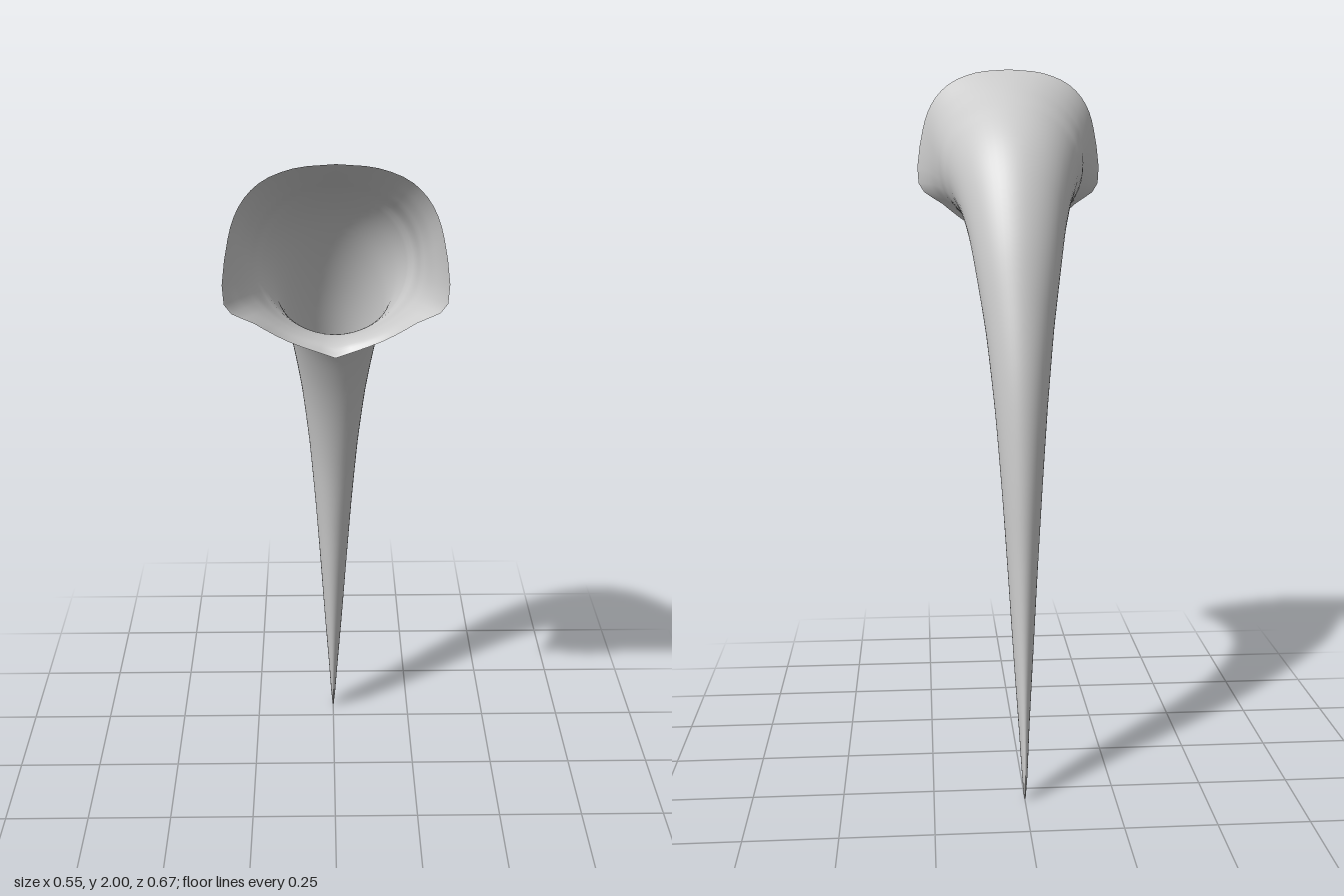
import * as THREE from 'three';

// Stations from mouth to tip: outer edge y, z; inner edge y, z; half width; share of the flared mouth section
const STATIONS = [
  [2.0, 0.305, 1.5, 0.26, 0.27, 1],
  [1.967, 0.25, 1.522, 0.243, 0.24, 0.55],
  [1.932, 0.19, 1.53, 0.21, 0.215, 0.2],
  [1.88, 0.1, 1.523, 0.155, 0.187, 0],
  [1.8, 0.005, 1.485, 0.085, 0.16, 0],
  [1.7, -0.068, 1.42, 0.03, 0.137, 0],
  [1.55, -0.14, 1.31, -0.025, 0.115, 0],
  [1.38, -0.195, 1.18, -0.07, 0.093, 0],
  [1.15, -0.25, 1.0, -0.112, 0.072, 0],
  [0.9, -0.28, 0.8, -0.143, 0.055, 0],
  [0.65, -0.294, 0.58, -0.173, 0.04, 0],
  [0.4, -0.308, 0.36, -0.208, 0.026, 0],
  [0.2, -0.325, 0.18, -0.245, 0.014, 0],
  [0.07, -0.334, 0.06, -0.283, 0.007, 0],
  [0.004, -0.32, 0, -0.31, 0.002, 0],
];

// Half section of the mouth: fraction from outer to inner edge, width fraction, forward offset
const MOUTH = [
  [0, 0, 0], [0.02, 0.37, 0.001], [0.09, 0.67, 0.004], [0.2, 0.85, 0.014], [0.34, 0.945, 0.035],
  [0.66, 1, 0.06], [0.78, 0.74, 0.035], [0.9, 0.44, 0.008], [1, 0, 0],
];

const spline = (points) => new THREE.CatmullRomCurve3(points.map((p) => new THREE.Vector3(...p)));

function hornGeometry(rows, half) {
  const outer = spline(STATIONS.map((s) => [0, s[0], s[1]]));
  const inner = spline(STATIONS.map((s) => [0, s[2], s[3]]));
  const size = spline(STATIONS.map((s) => [s[4], s[5], 0]));
  const mouth = spline(MOUTH);
  const sides = half * 2;
  const positions = [];
  const indices = [];
  for (let i = 0; i <= rows; i++) {
    const t = i / rows;
    const o = outer.getPoint(t);
    const n = inner.getPoint(t);
    const { x: width, y } = size.getPoint(t);
    const flare = THREE.MathUtils.clamp(y, 0, 1);
    for (let j = 0; j < sides; j++) {
      // Blend an ellipse with the mouth section, mirrored across x
      const k = j <= half ? j / half : (sides - j) / half;
      const m = mouth.getPoint(k);
      const s = THREE.MathUtils.lerp((1 - Math.cos(k * Math.PI)) / 2, m.x, flare);
      const u = THREE.MathUtils.lerp(Math.sin(k * Math.PI), m.y, flare);
      const p = o.clone().lerp(n, s);
      positions.push((j <= half ? 1 : -1) * u * width, p.y, p.z + m.z * flare);
      if (i < rows) {
        const a = i * sides + j;
        const b = i * sides + ((j + 1) % sides);
        indices.push(a, b, a + sides, b, b + sides, a + sides);
      }
    }
  }
  const geometry = new THREE.BufferGeometry();
  geometry.setAttribute('position', new THREE.Float32BufferAttribute(positions, 3));
  geometry.setIndex(indices);
  geometry.computeVertexNormals();
  return geometry;
}

export function createModel() {
  const group = new THREE.Group();
  group.name = 'hollowHorn';
  // Open curved shell, seen from inside and outside
  const shell = new THREE.Mesh(
    hornGeometry(70, 24),
    new THREE.MeshStandardMaterial({ color: 0xcccccc, side: THREE.DoubleSide }),
  );
  shell.name = 'hornShell';
  group.add(shell);
  return group;
}
